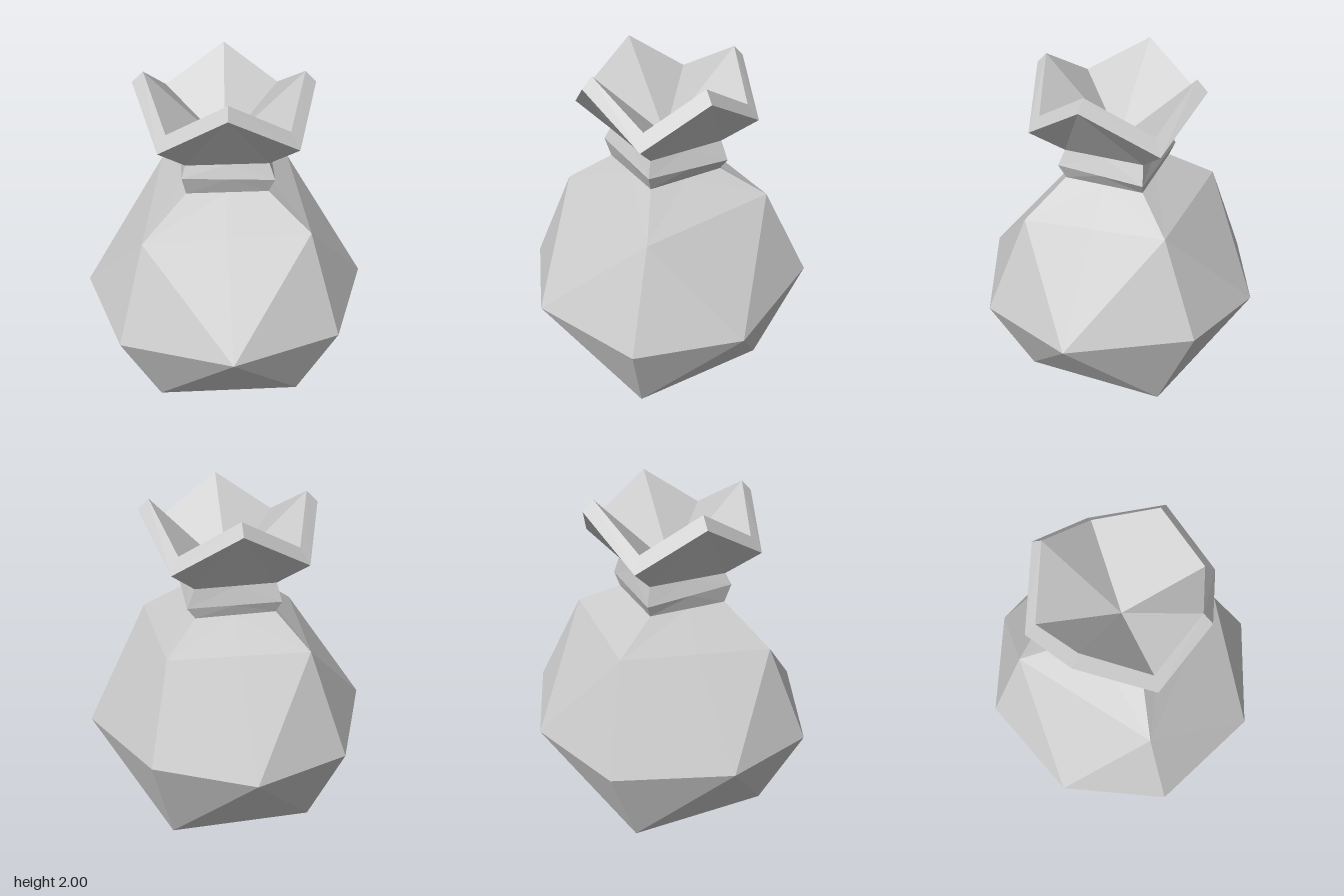
import * as THREE from 'three';

const material = new THREE.MeshStandardMaterial({ color: 0xcccccc, flatShading: true });
const Z = -0.005;

// Ring of 8 points: four on the axes (+x, +z, -x, -z) with four between them.
// Without given corners, the points between are edge midpoints (a diamond).
function ring(axis, corners) {
  const out = [];
  for (let k = 0; k < 4; k++) {
    const a = new THREE.Vector3(...axis[k]);
    const b = new THREE.Vector3(...axis[(k + 1) % 4]);
    out.push(a, corners ? new THREE.Vector3(...corners[k]) : a.clone().lerp(b, 0.5));
  }
  return out;
}

const axisPoints = (r, y) => [[r, y, Z], [0, y, r + Z], [-r, y, Z], [0, y, -r + Z]];
const diamond = (r, y) => ring(axisPoints(r, y));

// Joins rings with flat facets. split[i] = 0 cuts each quad from the lower
// ring's axis points, 1 cuts it from the upper ring's axis points.
function loft(name, rings, split) {
  const pos = [];
  const tri = (...p) => {
    const area = p[1].clone().sub(p[0]).cross(p[2].clone().sub(p[0])).length();
    if (area > 1e-7) p.forEach((v) => pos.push(v.x, v.y, v.z));
  };
  for (let i = 0; i < rings.length - 1; i++) {
    const a = rings[i], b = rings[i + 1];
    for (let k = 0; k < 8; k++) {
      const n = (k + 1) % 8;
      if (k % 2 === split[i]) {
        tri(a[k], b[k], b[n]);
        tri(a[k], b[n], a[n]);
      } else {
        tri(a[k], b[k], a[n]);
        tri(a[n], b[k], b[n]);
      }
    }
  }
  const geometry = new THREE.BufferGeometry();
  geometry.setAttribute('position', new THREE.Float32BufferAttribute(pos, 3));
  geometry.computeVertexNormals();
  const mesh = new THREE.Mesh(geometry, material);
  mesh.name = name;
  return mesh;
}

export function createModel() {
  const group = new THREE.Group();
  group.name = 'tiedSack';

  // Faceted round sack, slightly uneven around the middle and shoulders
  const c = 0.545;
  const middle = ring(
    [[0.78, 0.83, -0.075], [0.025, 0.74, 0.77], [-0.78, 0.725, -0.04], [0.035, 0.74, -0.77]],
    [[c, 0.772, c + Z], [-c, 0.772, c + Z], [-c, 0.772, -c + Z], [c, 0.772, -c + Z]]
  );
  const shoulders = ring(
    [[c, 1.315, -0.01], [0.045, 1.27, 0.54], [-0.565, 1.24, -0.06], [0.06, 1.305, -c]]
  );
  group.add(loft('sackBody',
    [diamond(0, 0), diamond(c, 0.227), middle, shoulders, diamond(0.295, 1.44)],
    [0, 0, 1, 0]));

  // Band tied round the neck
  const bulge = ring([[0.335, 1.503, 0.015], [0, 1.52, 0.33], [-0.328, 1.54, 0], [0, 1.503, -0.335]]);
  group.add(loft('neckTie', [diamond(0.295, 1.44), bulge, diamond(0.295, 1.6)], [0, 0]));

  // Gathered mouth: four points with valleys between, a thick rim and a hollow
  const outerRim = ring(axisPoints(0.478, 1.735),
    [[0.3, 1.945, 0.327], [-0.325, 1.945, 0.302], [-0.305, 1.945, -0.345], [0.335, 1.945, -0.315]]);
  const innerRim = ring(axisPoints(0.418, 1.813),
    [[0.265, 2, 0.285], [-0.285, 2, 0.268], [-0.268, 2, -0.3], [0.295, 2, -0.277]]);
  group.add(loft('gatheredMouth',
    [diamond(0.295, 1.6), outerRim, innerRim, diamond(0, 1.6)],
    [0, 0, 0]));

  return group;
}
